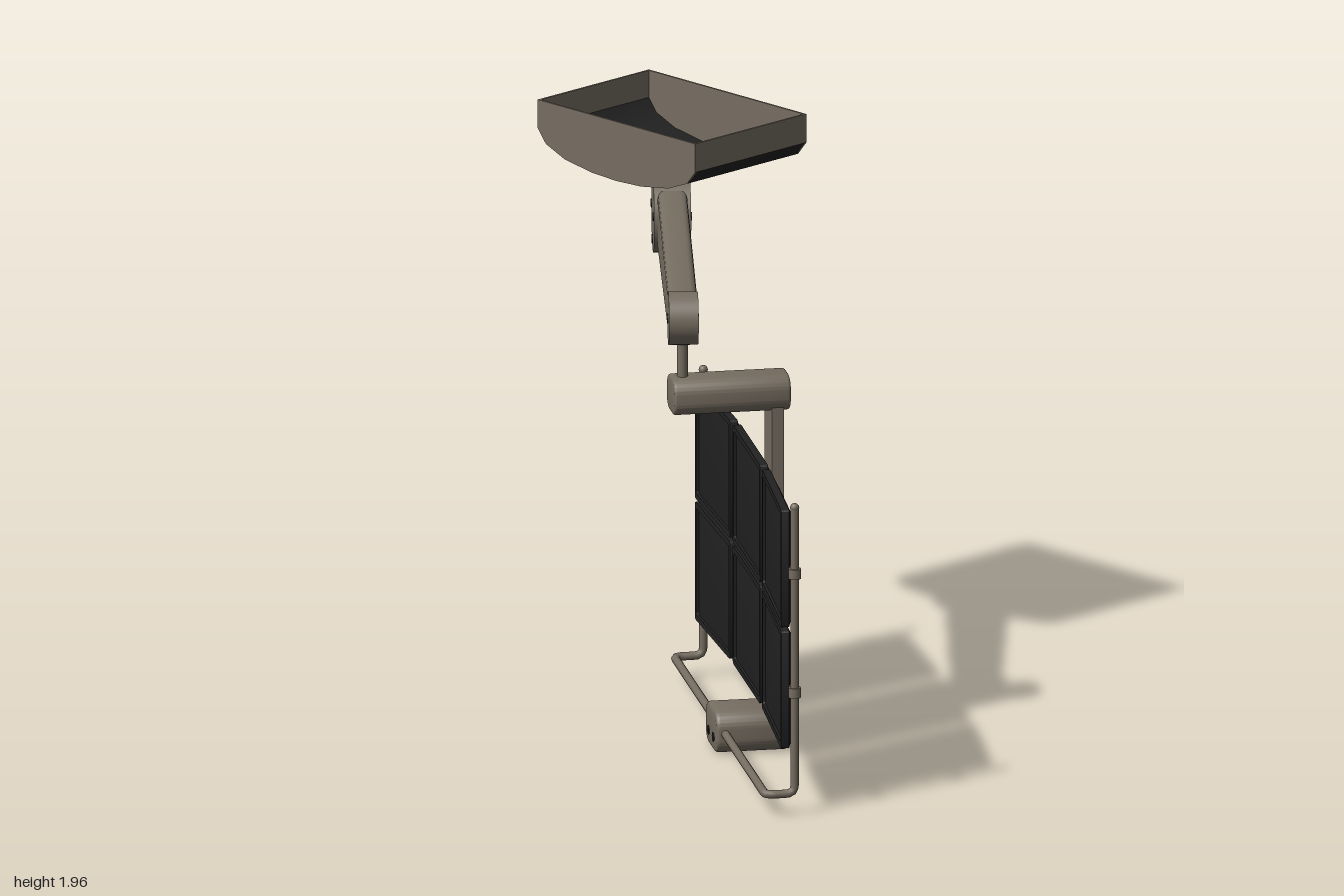
import * as THREE from 'three';
import { toCreasedNormals } from 'three/addons/utils/BufferGeometryUtils.js';

const metal = new THREE.MeshStandardMaterial({ color: 0x766d61 });
metal.name = 'warm grey metal';
const black = new THREE.MeshStandardMaterial({ color: 0x222222 });
black.name = 'black plastic';

function add(parent, name, geometry, material, x = 0, y = 0, z = 0) {
  const mesh = new THREE.Mesh(geometry, material);
  mesh.name = name;
  mesh.position.set(x, y, z);
  parent.add(mesh);
  return mesh;
}

function group(parent, name, x, y, z, turnDegrees) {
  const g = new THREE.Group();
  g.name = name;
  g.position.set(x, y, z);
  g.rotation.y = THREE.MathUtils.degToRad(turnDegrees);
  parent.add(g);
  return g;
}

function roundedRect(w, h, r, Type = THREE.Shape) {
  const s = new Type(), a = w / 2, b = h / 2;
  s.absarc(a - r, b - r, r, 0, Math.PI / 2);
  s.absarc(-a + r, b - r, r, Math.PI / 2, Math.PI);
  s.absarc(-a + r, -b + r, r, Math.PI, Math.PI * 1.5);
  s.absarc(a - r, -b + r, r, Math.PI * 1.5, Math.PI * 2);
  return s;
}

// Extrusion centred on z, with rounded edges inside the given outline and depth
function solid(shape, depth, bevel = 0) {
  const g = new THREE.ExtrudeGeometry(shape, {
    depth: depth - 2 * bevel, bevelEnabled: bevel > 0, bevelThickness: bevel,
    bevelSize: bevel, bevelOffset: -bevel, bevelSegments: 3, curveSegments: 10,
  });
  g.translate(0, 0, -depth / 2 + bevel);
  return toCreasedNormals(g, 0.6);
}

const drum = (r, len, sides = 40) => new THREE.CylinderGeometry(r, r, len, sides).rotateX(Math.PI / 2);

// Box whose back face is drawn in, for the sloped rear of a monitor
function taperedBack(w, h, d, inset) {
  const g = new THREE.BoxGeometry(w, h, d).toNonIndexed();
  const p = g.attributes.position;
  for (let i = 0; i < p.count; i++) {
    if (p.getZ(i) < 0) {
      p.setX(i, p.getX(i) * (1 - 2 * inset / w));
      p.setY(i, p.getY(i) * (1 - 2 * inset / h));
    }
  }
  g.computeVertexNormals();
  return g;
}

function buildMonitor(parent, u, y, w, turn) {
  const W = 0.512, H = 0.413;
  const m = group(parent, 'monitor', u, y, w, turn);
  add(m, 'monitorBody', solid(roundedRect(W, H, 0.012), 0.02, 0.004), black);
  add(m, 'monitorBack', taperedBack(W - 0.012, H - 0.012, 0.026, 0.05), black, 0, 0, -0.022);
  const frame = roundedRect(W, H, 0.012);
  frame.holes.push(roundedRect(W - 0.04, H - 0.04, 0.008, THREE.Path));
  add(m, 'monitorBezel', solid(frame, 0.012), black, 0, 0, 0.013);
}

// Bent rail running up both sides and across the bottom
function railCurve(half, front, low, high, r) {
  const pts = [[-half, high, 0], [-half, low, 0], [-half, low, front],
    [half, low, front], [half, low, 0], [half, high, 0]].map(p => new THREE.Vector3(...p));
  const path = new THREE.CurvePath();
  let from = pts[0];
  for (let i = 1; i < pts.length - 1; i++) {
    const before = pts[i].clone().add(pts[i - 1].clone().sub(pts[i]).setLength(r));
    const after = pts[i].clone().add(pts[i + 1].clone().sub(pts[i]).setLength(r));
    path.add(new THREE.LineCurve3(from, before));
    path.add(new THREE.QuadraticBezierCurve3(before, pts[i], after));
    from = after;
  }
  path.add(new THREE.LineCurve3(from, pts[pts.length - 1]));
  return path;
}

function buildRig(root) {
  const rig = group(root, 'monitorRig', 0.265, 0, 0.09, -34);

  // Mast with the upper and lower brackets
  add(rig, 'mast', new THREE.BoxGeometry(0.134, 1.15, 0.042), metal, 0, 0.665, -0.087);
  add(rig, 'upperBracket', solid(roundedRect(0.16, 0.125, 0.05), 0.4, 0.01), metal, 0, 1.247, 0.069);
  add(rig, 'lowerBracket', solid(roundedRect(0.222, 0.145, 0.055), 0.25, 0.012), metal, 0, 0.0735, 0.005);
  for (const u of [-0.045, 0.045]) {
    add(rig, 'lowerBracketHole', drum(0.016, 0.006, 16), black, u, 0.05, 0.13);
  }

  // Two rows of three monitors, the outer ones turned slightly inwards
  for (const y of [0.425, 0.85]) {
    for (const side of [-1, 0, 1]) {
      buildMonitor(rig, side * 0.556, y, side ? 0.005 : -0.01, -3 * side);
    }
    add(rig, 'monitorMount', new THREE.BoxGeometry(0.11, 0.11, 0.035), black, 0, y, -0.055);
  }

  // Rail, its end caps and the clamps holding the monitors
  add(rig, 'rail', new THREE.TubeGeometry(railCurve(0.857, 0.1, 0.075, 1.08, 0.03), 260, 0.0145, 12), metal);
  for (const side of [-1, 1]) {
    add(rig, 'railCap', new THREE.SphereGeometry(0.0155, 14, 10), metal, side * 0.857, 1.078, 0);
    for (const y of [0.43, 0.847]) {
      add(rig, 'railClamp', new THREE.CylinderGeometry(0.022, 0.022, 0.034, 16), metal, side * 0.857, y, 0);
      const stub = new THREE.CylinderGeometry(0.011, 0.011, 0.08, 12).rotateZ(Math.PI / 2);
      add(rig, 'clampStub', stub, metal, side * 0.822, y, 0.003);
    }
  }
  add(rig, 'elbowRod', new THREE.CylinderGeometry(0.018, 0.018, 0.24, 20), metal, 0, 1.4, 0.228);
}

function buildArm(root) {
  const arm = group(root, 'supportArm', -0.62, 0, -0.41, -42.2);
  const reach = 1.026, shoulderY = 1.58, elbowY = 1.513;

  // Tapered beam
  const beam = new THREE.Shape([[0, 1.69], [reach, 1.585], [reach, 1.445], [0, 1.475]]
    .map(p => new THREE.Vector2(...p)));
  add(arm, 'armBeam', solid(beam, 0.1, 0.022), metal);

  // Shoulder and elbow joints with bolts on both faces
  add(arm, 'shoulderJoint', drum(0.13, 0.125), metal, -0.015, shoulderY, 0);
  add(arm, 'elbowJoint', drum(0.09, 0.1), metal, reach, elbowY, 0);
  for (const side of [-1, 1]) {
    for (const angle of [10, 170, 270]) {
      const a = THREE.MathUtils.degToRad(angle);
      add(arm, 'shoulderBolt', drum(0.015, 0.006, 14), black,
        -0.015 + 0.086 * Math.cos(a), shoulderY + 0.086 * Math.sin(a), side * 0.063);
    }
    add(arm, 'elbowBolt', drum(0.016, 0.006, 14), black, reach, elbowY, side * 0.051);
  }
  add(arm, 'neck', new THREE.CylinderGeometry(0.037, 0.037, 0.09, 24), metal, 0, 1.72, 0);
}

// Open ceiling cover with a curved dark floor
function buildCover(root) {
  const cover = group(root, 'ceilingCover', -0.62, 0, -0.4125, 0);
  const half = 0.38, depth = 0.525, top = 1.96;
  const right = [[0.12, 1.757], [0.25, 1.777], [0.34, 1.812], [half, 1.86]];
  const curve = [...right.map(([x, y]) => [-x, y]).reverse(), [0, 1.752], ...right];
  const toShape = pts => new THREE.Shape(pts.map(p => new THREE.Vector2(...p)));

  const end = toShape([...curve, [half, top], [-half, top]]);
  for (const side of [-1, 1]) {
    add(cover, 'coverEnd', solid(end, 0.008), metal, 0, 0, side * (depth / 2 - 0.004));
    add(cover, 'coverSide', new THREE.BoxGeometry(0.008, top - 1.86, depth), metal,
      side * (half - 0.004), (top + 1.86) / 2, 0);
  }
  const inner = curve.map(([x, y]) => [x * 0.985, y + 0.008]).reverse();
  add(cover, 'coverFloor', solid(toShape([...curve, ...inner]), depth - 0.01), black);
}

export function createModel() {
  const root = new THREE.Group();
  root.name = 'monitorSupport';
  buildRig(root);
  buildArm(root);
  buildCover(root);
  return root;
}
